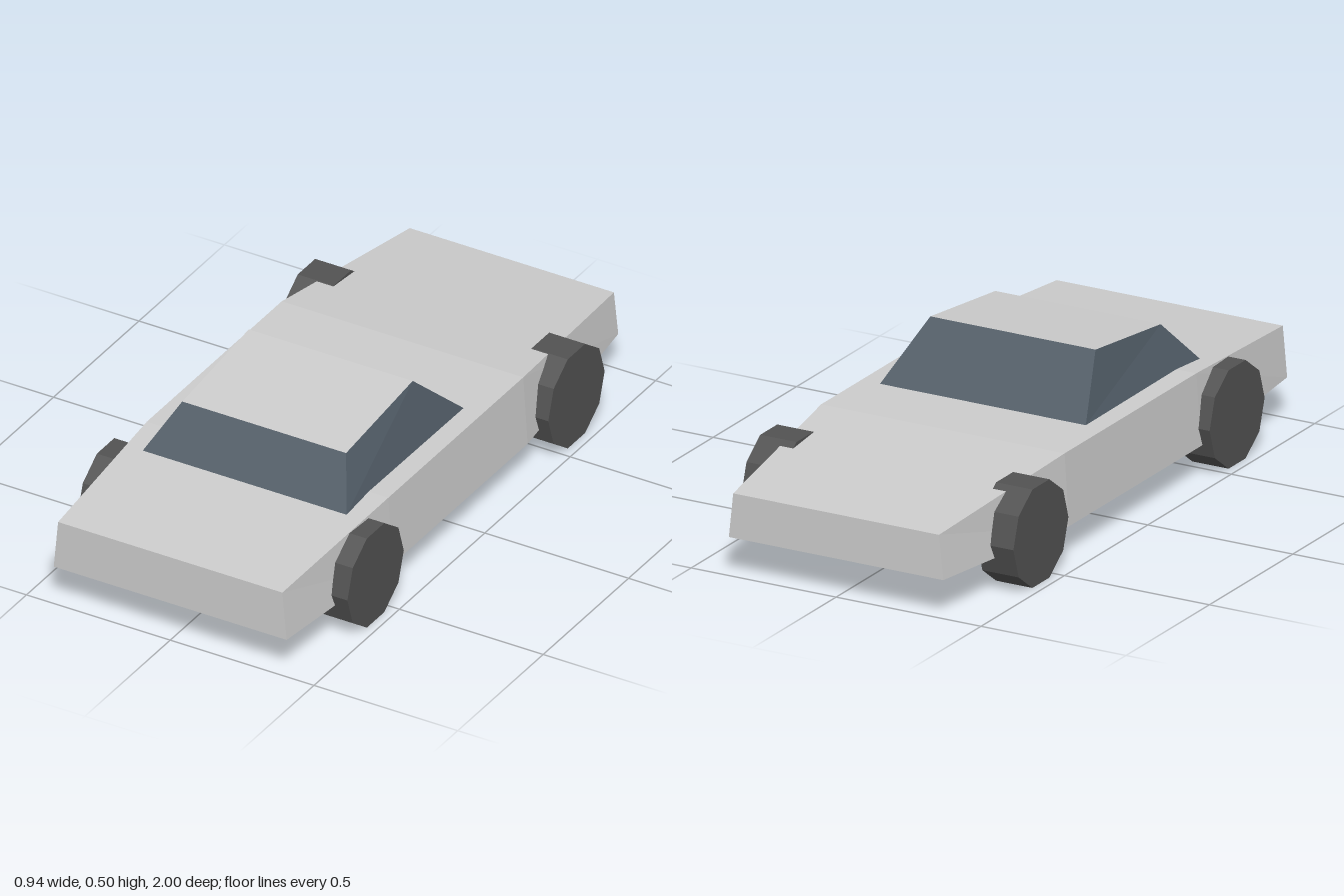
import * as THREE from 'three';

const paint = new THREE.MeshStandardMaterial({ color: 0xcccccc, flatShading: true });
const glass = new THREE.MeshStandardMaterial({ color: 0x4f5a64, flatShading: true });
const rubber = new THREE.MeshStandardMaterial({ color: 0x525252, flatShading: true });

// Flat-shaded mesh from quads whose corners run counter-clockwise seen from outside
function quadMesh(name, quads, material) {
  const positions = quads.flatMap(([a, b, c, d]) => [a, b, c, a, c, d].flat());
  const geometry = new THREE.BufferGeometry();
  geometry.setAttribute('position', new THREE.Float32BufferAttribute(positions, 3));
  geometry.computeVertexNormals();
  const mesh = new THREE.Mesh(geometry, material);
  mesh.name = name;
  return mesh;
}

// Quads joining one loop of corners to the next
const band = (from, to) => from.map((p, i) => {
  const j = (i + 1) % from.length;
  return [p, from[j], to[j], to[i]];
});

// Body: four-cornered cross-sections lofted from nose to tail
function createBody() {
  const sections = [
    { z: 1.0, bottom: 0.13, top: 0.292, bottomHalf: 0.405, topHalf: 0.39 },
    { z: 0.43, bottom: 0.1, top: 0.33, bottomHalf: 0.435, topHalf: 0.42 },
    { z: -0.36, bottom: 0.1, top: 0.33, bottomHalf: 0.435, topHalf: 0.42 },
    { z: -1.0, bottom: 0.123, top: 0.265, bottomHalf: 0.37, topHalf: 0.355 },
  ];
  const loops = sections.map(s => [
    [-s.bottomHalf, s.bottom, s.z],
    [-s.topHalf, s.top, s.z],
    [s.topHalf, s.top, s.z],
    [s.bottomHalf, s.bottom, s.z],
  ]);
  const quads = [[...loops[0]].reverse(), loops[loops.length - 1]];
  for (let i = 0; i + 1 < loops.length; i++) quads.push(...band(loops[i], loops[i + 1]));
  return quadMesh('body', quads, paint);
}

// Cabin: sloping windows around a smaller, tilted roof panel
function createCabin() {
  const loop = (half, frontZ, frontY, backZ, backY) => [
    [-half, frontY, frontZ], [half, frontY, frontZ],
    [half, backY, backZ], [-half, backY, backZ],
  ];
  const base = loop(0.355, 0.565, 0.32, -0.12, 0.33);
  const roof = loop(0.285, 0.45, 0.455, 0.06, 0.5);
  const cabin = new THREE.Group();
  cabin.name = 'cabin';
  cabin.add(quadMesh('windows', band(base, roof), glass), quadMesh('roof', [roof], paint));
  return cabin;
}

export function createModel() {
  const model = new THREE.Group();
  model.name = 'car';
  model.add(createBody(), createCabin());

  // Ten-sided wheels resting on a flat side
  const radius = 0.165;
  const wheelGeometry = new THREE.CylinderGeometry(radius, radius, 0.125, 10);
  wheelGeometry.rotateZ(Math.PI / 2);
  for (const [end, z] of [['front', 0.588], ['rear', -0.588]]) {
    for (const [side, x] of [['Left', 0.407], ['Right', -0.407]]) {
      const wheel = new THREE.Mesh(wheelGeometry, rubber);
      wheel.name = `${end}${side}Wheel`;
      wheel.position.set(x, radius * Math.cos(Math.PI / 10), z);
      model.add(wheel);
    }
  }
  return model;
}
